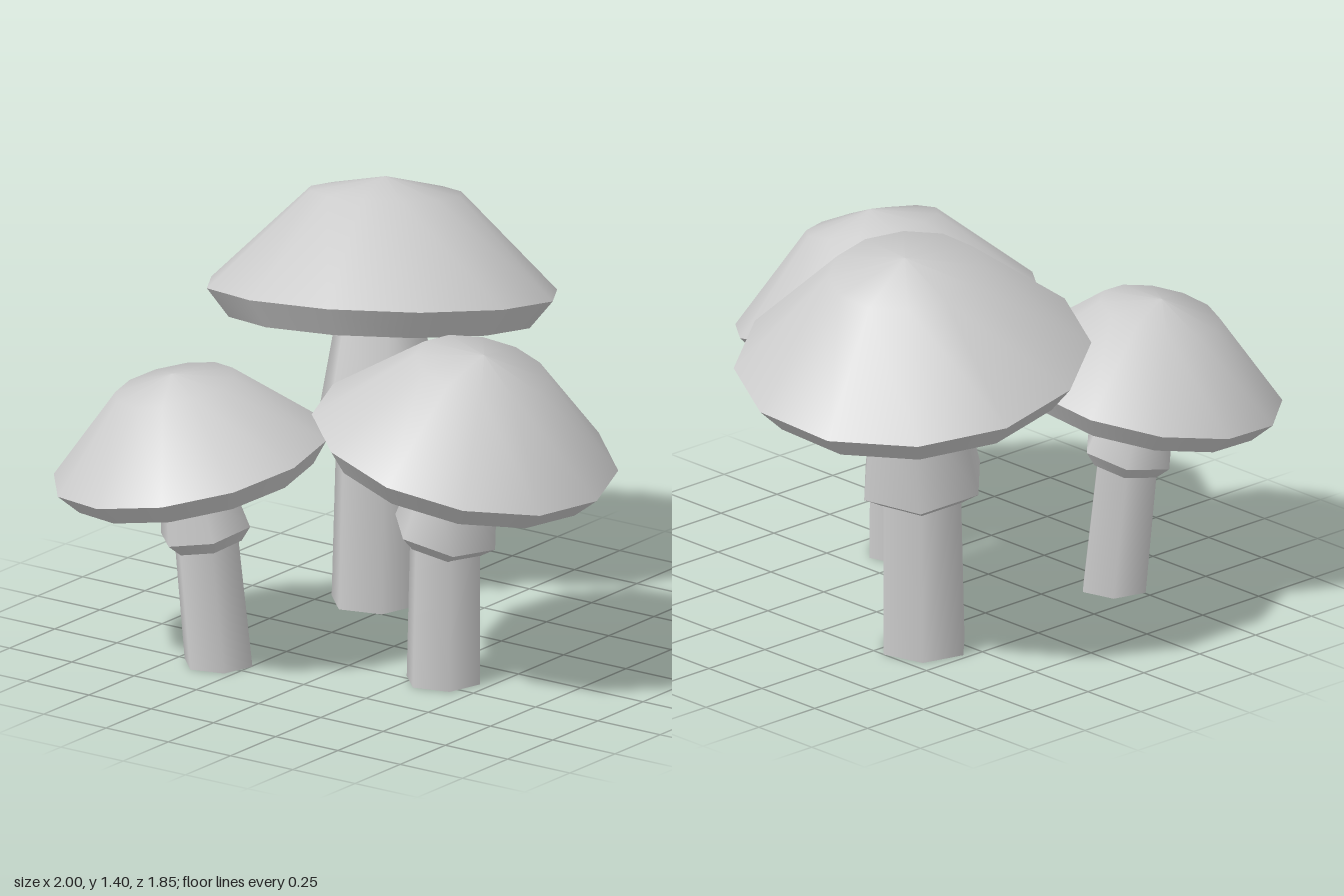
import * as THREE from 'three';

const material = new THREE.MeshStandardMaterial({ color: 0xcccccc, side: THREE.DoubleSide });
const CAP_SIDES = 12, STEM_SIDES = 6;

// Faceted surface of revolution; points run from the underside outward and up
function lathe(name, points, sides, phase) {
  const profile = points.map(([r, y]) => new THREE.Vector2(r, y));
  const geometry = new THREE.LatheGeometry(profile, sides, THREE.MathUtils.degToRad(phase));
  const mesh = new THREE.Mesh(geometry, material);
  mesh.name = name;
  return mesh;
}

// rim: centre of the cap's widest ring; axis: direction the cap leans
function createMushroom({ name, rim, axis, capRadius: R, capPhase, base, baseRadius, skirtDrop, skirtRadius, neckRadius }) {
  const mushroom = new THREE.Group();
  mushroom.name = name;
  const up = new THREE.Vector3(...axis).normalize();
  const rimCentre = new THREE.Vector3(...rim);

  // Tilted head: cap and skirt share one leaning axis
  const head = new THREE.Group();
  head.name = 'head';
  head.position.copy(rimCentre);
  head.quaternion.setFromUnitVectors(new THREE.Vector3(0, 1, 0), up);
  const lip = -0.16 * R, lipRadius = 0.87 * R;
  head.add(
    lathe('capUnderside', [[0, lip], [lipRadius, lip]], CAP_SIDES, capPhase),
    lathe('capRim', [[lipRadius, lip], [R, 0]], CAP_SIDES, capPhase),
    lathe('capTop', [[R, 0], [0.435 * R, 0.55 * R], [0, 0.635 * R]], CAP_SIDES, capPhase),
    lathe('skirtUnderside', [[baseRadius, -skirtDrop - 0.045], [skirtRadius, -skirtDrop]], STEM_SIDES, 15),
    lathe('skirt', [[skirtRadius, -skirtDrop], [neckRadius, lip]], STEM_SIDES, 15),
  );
  mushroom.add(head);

  // Open six-sided stem, sheared from its foot to the skirt
  const top = rimCentre.clone().addScaledVector(up, -skirtDrop);
  const geometry = new THREE.CylinderGeometry(
    baseRadius * 0.95, baseRadius, top.y, STEM_SIDES, 1, true, THREE.MathUtils.degToRad(15));
  geometry.translate(0, top.y / 2, 0);
  const p = geometry.attributes.position;
  for (let i = 0; i < p.count; i++) {
    const t = p.getY(i) / top.y;
    p.setX(i, p.getX(i) + THREE.MathUtils.lerp(base[0], top.x, t));
    p.setZ(i, p.getZ(i) + THREE.MathUtils.lerp(base[1], top.z, t));
  }
  const stem = new THREE.Mesh(geometry, material);
  stem.name = 'stem';
  mushroom.add(stem);
  return mushroom;
}

export function createModel() {
  const model = new THREE.Group();
  model.name = 'mushroomCluster';
  const mushrooms = [
    { name: 'largeMushroom', rim: [0.43, 1.04, -0.36], axis: [0.165, 0.98, -0.08], capRadius: 0.583, capPhase: 18,
      base: [0.355, -0.335], baseRadius: 0.15, skirtDrop: 0.475, skirtRadius: 0.215, neckRadius: 0.155 },
    { name: 'frontMushroom', rim: [-0.2, 0.83, 0.43], axis: [0, 0.97, 0.24], capRadius: 0.508, capPhase: 6,
      base: [-0.195, 0.34], baseRadius: 0.128, skirtDrop: 0.33, skirtRadius: 0.178, neckRadius: 0.133 },
    { name: 'backMushroom', rim: [-0.55, 0.71, -0.42], axis: [-0.13, 0.98, -0.15], capRadius: 0.462, capPhase: 24,
      base: [-0.475, -0.36], baseRadius: 0.118, skirtDrop: 0.255, skirtRadius: 0.158, neckRadius: 0.122 },
  ];
  for (const m of mushrooms) model.add(createMushroom(m));
  return model;
}
